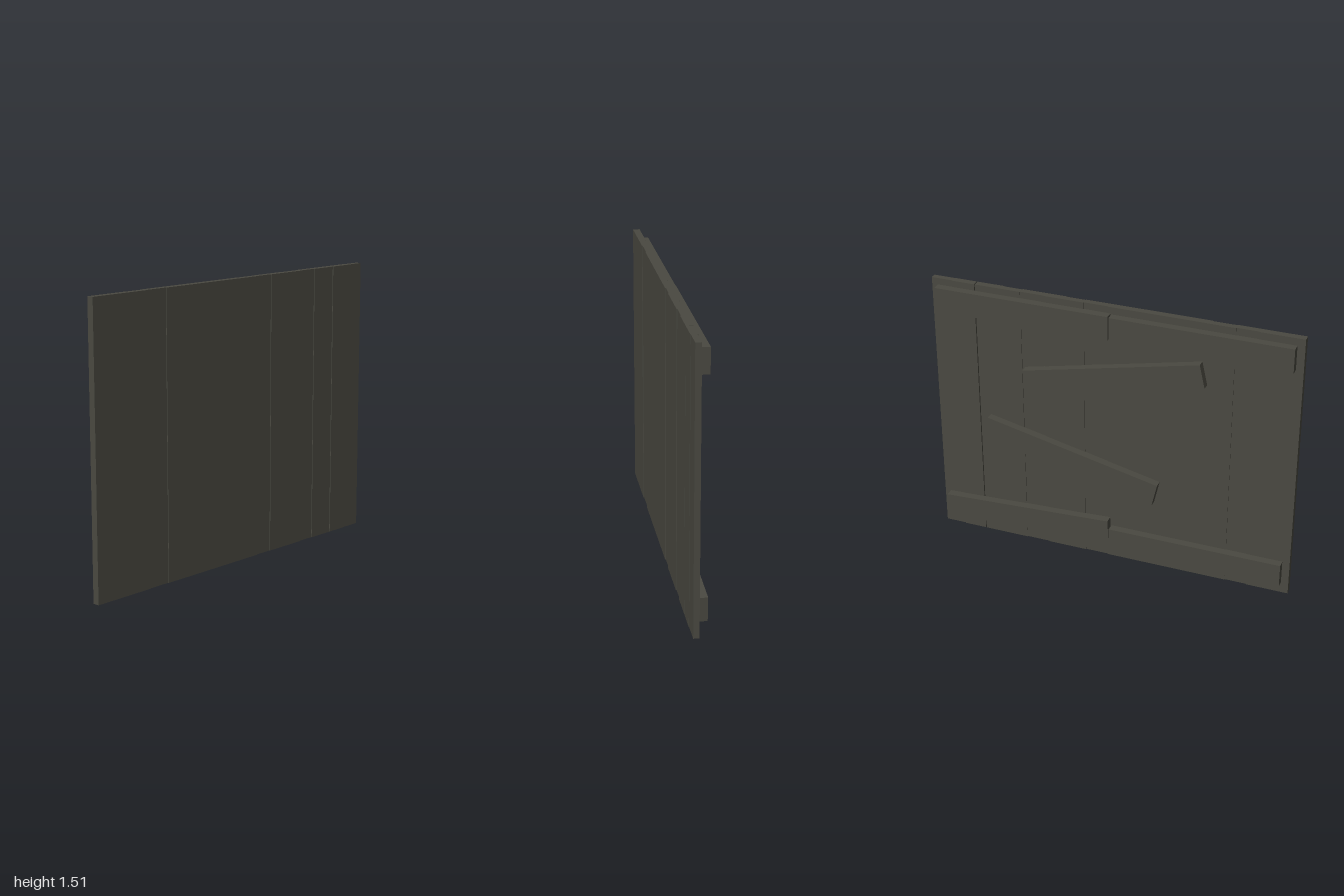
import * as THREE from 'three';

const HEIGHT = 1.51;

export function createModel() {
  const model = new THREE.Group();
  const wood = new THREE.MeshStandardMaterial({ color: 0x4a4941 });
  wood.name = 'dark weathered wood';

  const addBox = (name, w, h, d, x, y, z, angle = 0) => {
    const mesh = new THREE.Mesh(new THREE.BoxGeometry(w, h, d), wood);
    mesh.name = name;
    mesh.position.set(x, y, z);
    mesh.rotation.z = angle;
    model.add(mesh);
  };

  // Upright boards, lapped with shallow steps: [x start, x end, z back, z front]
  const back = 0.003, backStep = 0.007, front = 0.04, frontStep = 0.036;
  const boards = [
    [-1, -0.767, back, front],
    [-0.767, -0.65, backStep, front],
    [-0.65, -0.52, back, frontStep],
    [-0.52, -0.07, back, front],
    [-0.07, 0.02, back, front],
    [0.02, 0.15, backStep, front],
    [0.15, 0.25, back, frontStep],
    [0.25, 0.37, back, front],
    [0.37, 0.5, backStep, front],
    [0.5, 0.6, back, frontStep],
    [0.6, 0.753, back, front],
    [0.758, 0.884, back, front],
    [0.884, 1, backStep, front - 0.002],
  ];
  boards.forEach(([x0, x1, z0, z1]) =>
    addBox('uprightBoard', x1 - x0, HEIGHT, z1 - z0, (x0 + x1) / 2, HEIGHT / 2, (z0 + z1) / 2));

  // Cross planks nailed to the back: [name, length, x, y, tilt]
  const planks = [
    ['topBatten', 0.96, 0.485, 1.408, 0],
    ['topBatten', 0.96, -0.48, 1.404, 0],
    ['bottomBatten', 0.96, 0.483, 0.157, -0.047],
    ['bottomBatten', 0.96, -0.48, 0.13, 0],
    ['upperBrace', 0.99, -0.016, 1.123, -0.219],
    ['lowerBrace', 0.99, 0.225, 0.58, 0.221],
  ];
  planks.forEach(([name, length, x, y, tilt]) =>
    addBox(name, length, 0.132, 0.045, x, y, -0.0175, tilt));

  return model;
}
